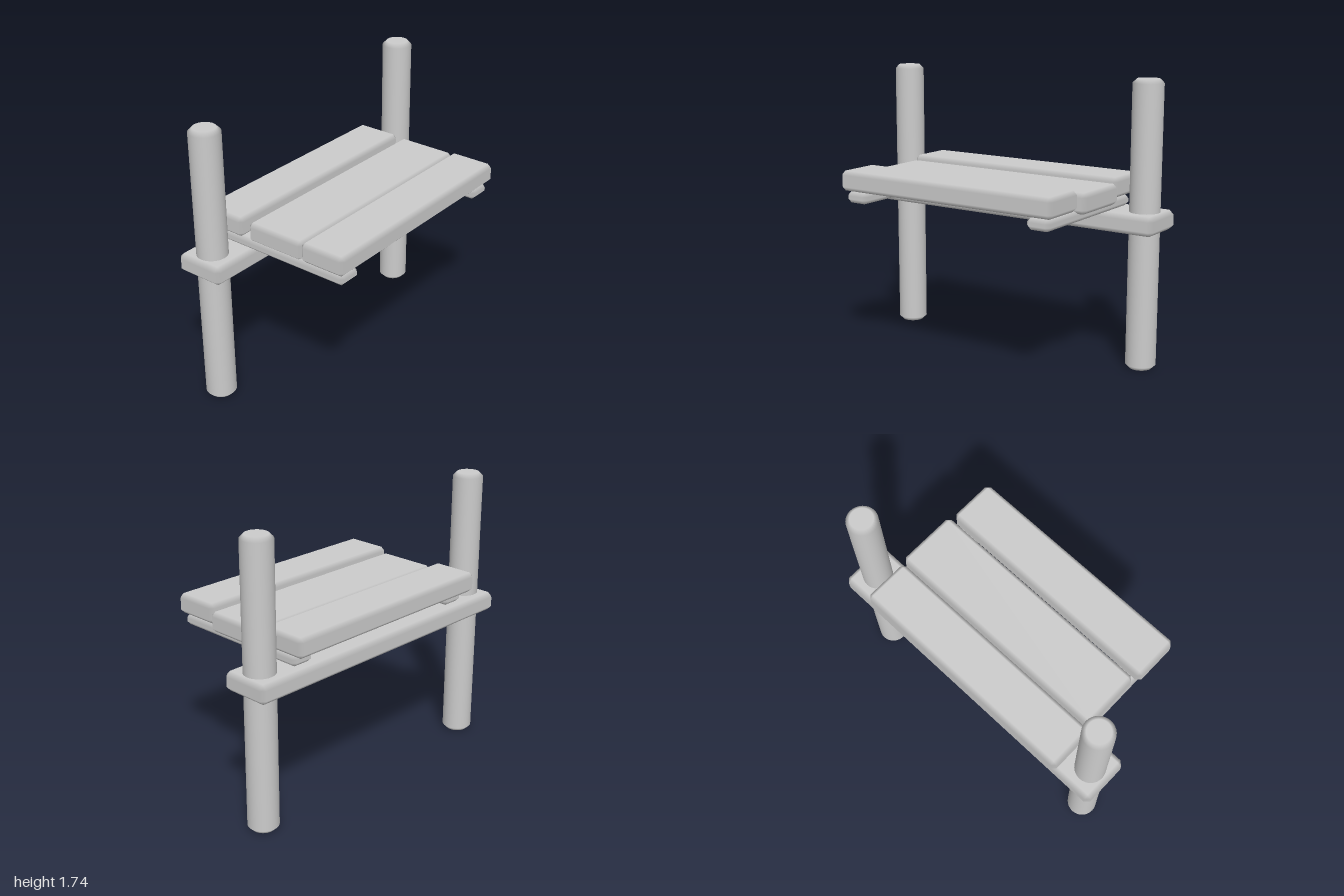
import * as THREE from 'three';
import { ConvexGeometry } from 'three/addons/geometries/ConvexGeometry.js';

const material = new THREE.MeshStandardMaterial({ color: 0xcccccc });

function part(name, geometry, x, y, z) {
  const mesh = new THREE.Mesh(geometry, material);
  mesh.name = name;
  mesh.position.set(x, y, z);
  return mesh;
}

// Chamfered board between two corners; large faces shade flat, chamfers blend softly
function board(name, min, max, c = 0.025) {
  const half = min.map((v, i) => (max[i] - v) / 2);
  const points = [];
  for (let axis = 0; axis < 3; axis++)
    for (const sx of [-1, 1]) for (const sy of [-1, 1]) for (const sz of [-1, 1]) {
      const p = [sx, sy, sz].map((s, i) => s * (half[i] - (i === axis ? 0 : c)));
      points.push(new THREE.Vector3(...p));
    }
  const geometry = new ConvexGeometry(points);
  const pos = geometry.attributes.position;
  const normal = geometry.attributes.normal;
  for (let i = 0; i < pos.count; i++) {
    const p = [pos.getX(i), pos.getY(i), pos.getZ(i)];
    normal.setXYZ(i, ...p.map((v, k) => (Math.abs(v) > half[k] - c / 2 ? Math.sign(v) : 0)));
  }
  return part(name, geometry, ...min.map((v, i) => (v + max[i]) / 2));
}

// Round post with chamfered ends
function post(name, x, z) {
  const r = 0.092, h = 1.74, c = 0.025;
  const profile = [[0, 0], [r - c, 0], [r, c], [r, h - c], [r - c, h], [0, h]];
  const geometry = new THREE.LatheGeometry(profile.map(p => new THREE.Vector2(...p)), 32);
  const pos = geometry.attributes.position;
  for (let i = 0; i < pos.count; i++) {
    const y = pos.getY(i);
    if (y < 0.001) geometry.attributes.normal.setXYZ(i, 0, -1, 0);
    else if (y > h - 0.001) geometry.attributes.normal.setXYZ(i, 0, 1, 0);
    else geometry.attributes.normal.setXYZ(i, pos.getX(i) / r, 0, pos.getZ(i) / r);
  }
  return part(name, geometry, x, 0, z);
}

export function createModel() {
  const model = new THREE.Group();
  model.name = 'plankPlatform';

  // Posts and the cross beam they pass through
  model.add(post('leftPost', 0.875, -0.33), post('rightPost', -0.875, -0.33));
  model.add(board('crossBeam', [-1, 0.845, -0.487], [1, 0.962, -0.173], 0.028));

  // Battens under the planks
  model.add(board('leftBatten', [0.568, 0.965, -0.437], [0.722, 1.035, 0.49]));
  model.add(board('rightBatten', [-0.727, 0.965, -0.437], [-0.573, 1.035, 0.49]));

  // Deck planks, the middle one slightly lower and shifted
  model.add(board('backPlank', [-0.753, 1.04, -0.513], [0.747, 1.162, -0.215]));
  model.add(board('middlePlank', [-0.725, 1.016, -0.195], [0.775, 1.138, 0.197]));
  model.add(board('frontPlank', [-0.753, 1.04, 0.213], [0.747, 1.162, 0.511]));

  return model;
}
